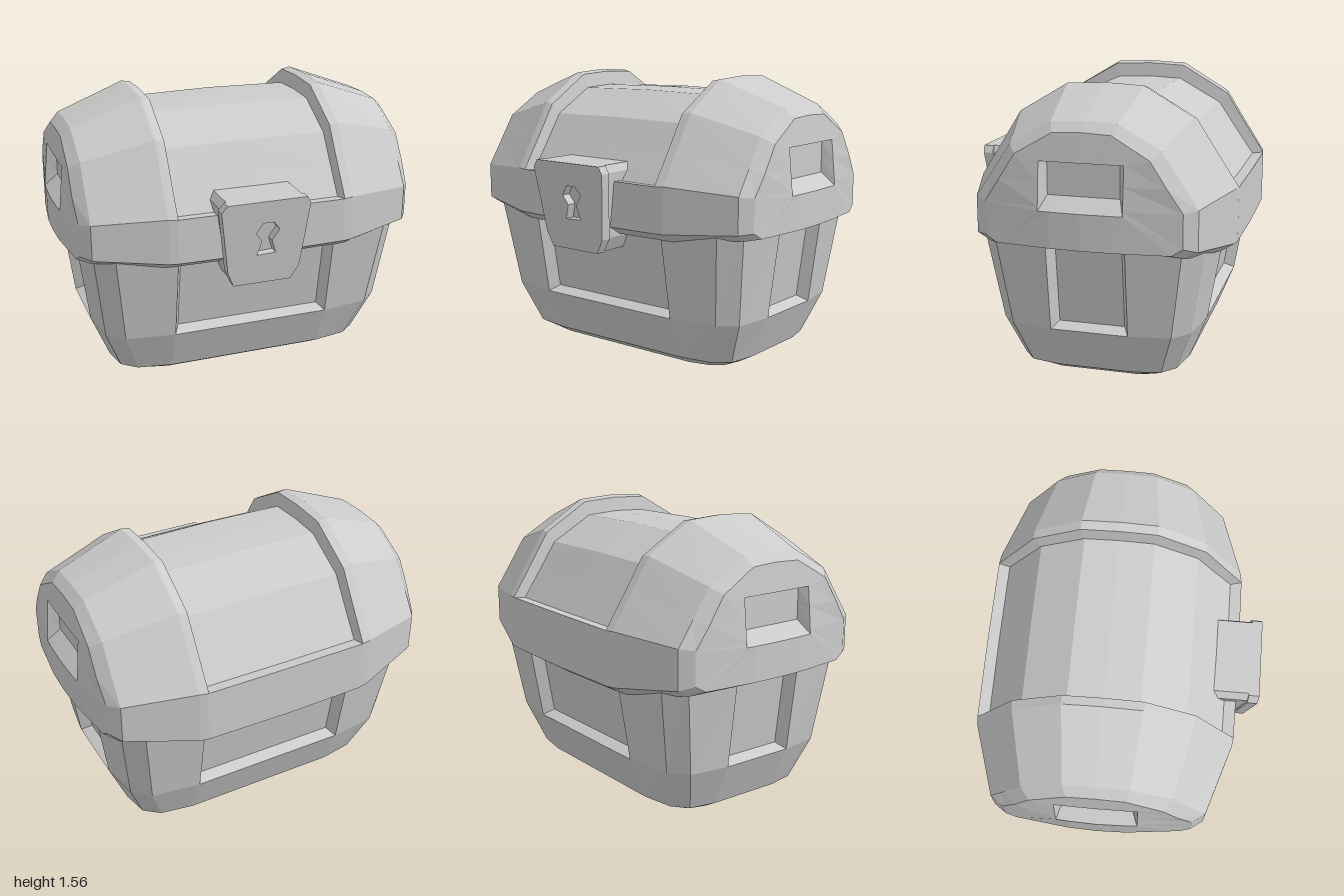
import * as THREE from 'three';

const CZ = -0.06; // depth centre of the chest
const clamp = THREE.MathUtils.clamp;
const grey = () => new THREE.MeshStandardMaterial({ color: 0xcccccc, flatShading: true });

function addMesh(group, name, geometry) {
  const mesh = new THREE.Mesh(geometry, grey());
  mesh.name = name;
  group.add(mesh);
}

// Skin over closed rings of points; recessed cells sink to their inner points and get walls.
function ringSkin(rings, recessed, inner) {
  const n = rings[0].length, pos = [];
  const tri = (a, b, c) => {
    const [A, B, C] = [a, b, c].map(p => new THREE.Vector3(...p));
    if (B.sub(A).cross(C.sub(A)).length() > 1e-7) pos.push(...a, ...b, ...c);
  };
  const quad = (a, b, c, d) => { tri(a, b, c); tri(a, c, d); };
  const sunk = (i, j) => recessed(i, (j + n) % n);
  for (let i = 0; i < rings.length - 1; i++) {
    for (let j = 0; j < n; j++) {
      const k = (j + 1) % n;
      const outer = [rings[i][j], rings[i][k], rings[i + 1][k], rings[i + 1][j]];
      if (!sunk(i, j)) { quad(...outer); continue; }
      const low = outer.map((p, c) => inner(p, c === 0 || c === 3 ? j : k));
      quad(...low);
      const neighbours = [[i - 1, j], [i, j + 1], [i + 1, j], [i, j - 1]];
      neighbours.forEach(([r, c], e) => {
        const f = (e + 1) % 4;
        if (!sunk(r, c)) quad(outer[e], outer[f], low[f], low[e]);
      });
    }
  }
  const g = new THREE.BufferGeometry();
  g.setAttribute('position', new THREE.Float32BufferAttribute(pos, 3));
  g.computeVertexNormals();
  return g;
}

// Tapered lower box with a sunken panel on each side
function bodyGeometry() {
  const levels = [[0, 0.66, 0.38], [0.05, 0.75, 0.46], [0.29, 0.85, 0.555], [0.82, 0.92, 0.645]];
  const ring = ([y, w, d]) => {
    const q = [[0.45, d], [0.85 * w, 0.93 * d], [0.96 * w, 0.78 * d], [w, 0.21]];
    const back = q.map(([x, z]) => [x, -z]).reverse();
    const right = [...q, ...back];
    const left = right.map(([x, z]) => [-x, z]).reverse();
    const loop = [left[7], ...right, ...left.slice(0, 7)];
    return loop.map(([x, z]) => [x, y, z + CZ]);
  };
  const point = y => Array.from({ length: 16 }, () => [0, y, CZ]);
  const rings = [point(0), ...levels.map(ring), point(0.82)];
  const inner = ([x, y, z], j) => j % 8 < 2
    ? [x * 0.93, y + 0.03, z - Math.sign(z - CZ) * 0.06]
    : [x - Math.sign(x) * 0.06, y + 0.03, CZ + (z - CZ) * 0.85];
  return ringSkin(rings, (i, j) => i === 3 && j % 4 === 0, inner);
}

// Arched lid: sections along x, closed by bulging ends with a sunken window
function lidGeometry() {
  const half = [[0.63, 0.73], [0.71, 0.78], [0.71, 1.03], [0.6, 1.2], [0.48, 1.39], [0.21, 1.55]];
  const arch = [...half, [0, 1.56], ...half.map(([z, y]) => [-z, y]).reverse(),
    [-0.22, 0.73], [0, 0.73], [0.22, 0.73]];
  const section = (x, s, top, base) => arch.map(([z, y]) => {
    const drop = z < -0.5 && y < 0.8 ? 0.05 * (s - 0.72) / 0.28 : 0;
    return [x, base + (y - 0.73) / 0.83 * (top - base) - drop, z * s + CZ];
  });
  const bulge = (z, y) => 0.95 + 0.05 * (1 - ((z - CZ) / 0.515) ** 2) * clamp((1.37 - y) / 0.4, 0, 1);
  const rim = section(0, 0.725, 1.37, 0.78).map(([, y, z]) => [bulge(z, y), y, z]);
  const frame = (w, y0, y1, depth) => rim.map(([, y, z]) => {
    const fy = clamp(y, y0, y1), fz = CZ + clamp(z - CZ, -w, w);
    return [depth || bulge(fz, fy), fy, fz];
  });
  const end = [
    rim.map(() => [0.92, 1.12, CZ]),
    frame(0.19, 1.04, 1.21, 0.92),
    frame(0.22, 0.97, 1.22, 0),
    rim,
    section(0.9, 0.82, 1.42, 0.77),
    section(0.52, 0.99, 1.56, 0.735),
    section(0.47, 1, 1.55, 0.735),
  ];
  const mirrored = end.map(r => r.map(([x, y, z]) => [-x, y, z])).reverse();
  const rings = [...end, section(0, 1.005, 1.56, 0.73), ...mirrored];
  const inner = ([x, y, z]) => [x * 0.97, 0.985 + (y - 0.985) * 0.86, CZ + (z - CZ) * 0.91];
  return ringSkin(rings, (i, j) => (i === 6 || i === 7) && j >= 2 && j < 10, inner);
}

// Tapered lock outline, optionally pierced by a keyhole
function lockGeometry(grow, z0, z1, keyhole) {
  const v = (x, y) => new THREE.Vector2(x, y);
  const shape = new THREE.Shape([
    v(-0.18 - grow, 0.64), v(0.12 + grow, 0.64), v(0.165 + grow, 0.72), v(0.205 + grow, 1.08),
    v(0.185 + grow, 1.12), v(-0.235 - grow, 1.12), v(-0.265 - grow, 1.08), v(-0.215 - grow, 0.72),
  ]);
  if (keyhole) {
    shape.holes.push(new THREE.Path([
      v(-0.045, 0.995), v(0.015, 0.995), v(0.05, 0.95), v(0.01, 0.89),
      v(0.035, 0.815), v(-0.07, 0.81), v(-0.045, 0.89), v(-0.08, 0.94),
    ]));
  }
  const g = new THREE.ExtrudeGeometry(shape, { depth: z1 - z0, bevelEnabled: false });
  // lean the lower end back towards the body
  const p = g.attributes.position;
  for (let i = 0; i < p.count; i++) p.setZ(i, p.getZ(i) + z0 - (1.12 - p.getY(i)) * 0.12);
  g.computeVertexNormals();
  return g;
}

export function createModel() {
  const chest = new THREE.Group();
  chest.name = 'chest';
  addMesh(chest, 'body', bodyGeometry());
  addMesh(chest, 'lid', lidGeometry());

  const lock = new THREE.Group();
  lock.name = 'lock';
  addMesh(lock, 'lockBlock', lockGeometry(0, 0.5, 0.72, false));
  addMesh(lock, 'lockPlate', lockGeometry(0.012, 0.715, 0.772, true));
  chest.add(lock);
  return chest;
}
